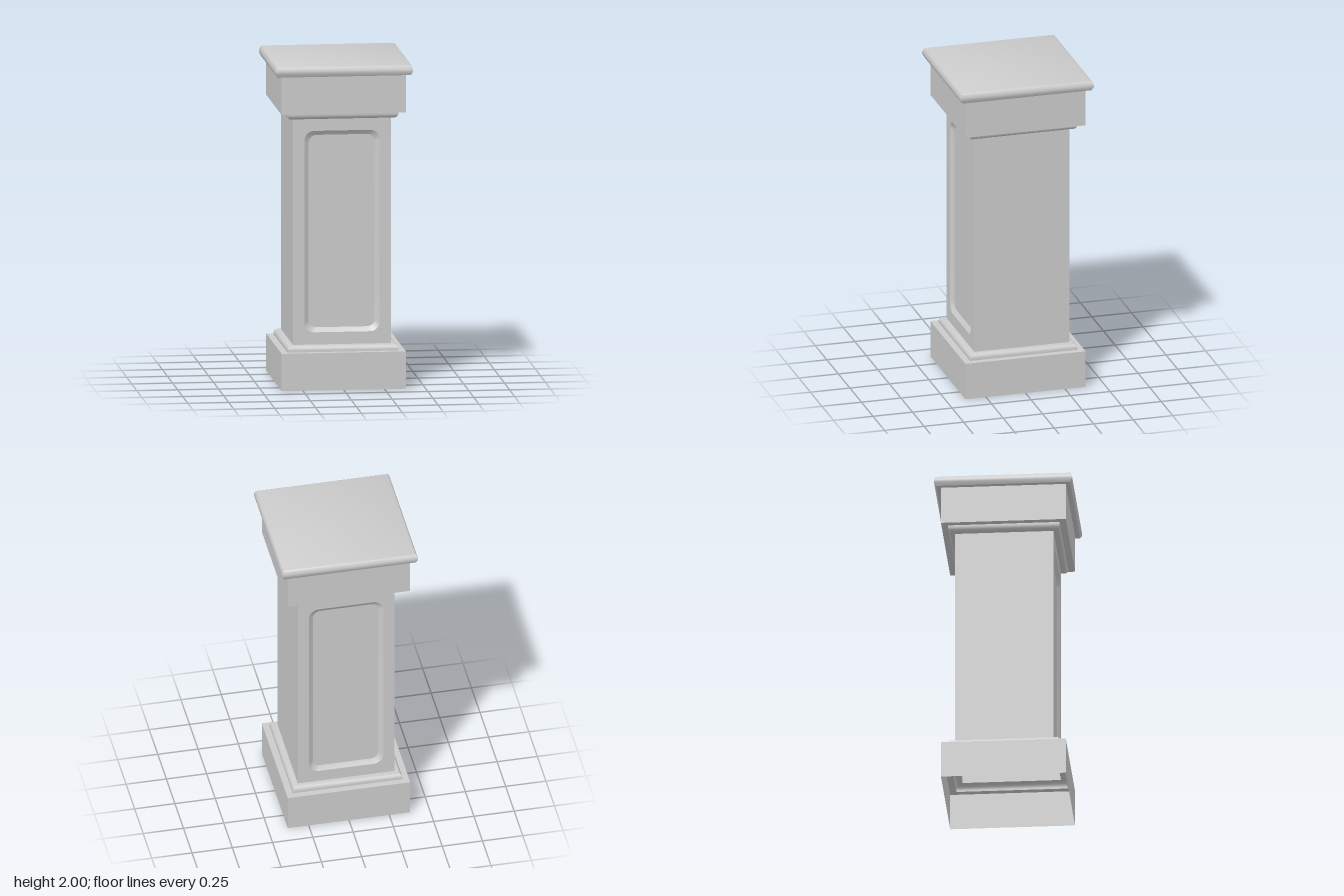
import * as THREE from 'three';
import { toCreasedNormals, mergeVertices } from 'three/addons/utils/BufferGeometryUtils.js';

const material = new THREE.MeshStandardMaterial({ color: 0xcccccc, side: THREE.DoubleSide });

const SHAFT = 0.3, LOW = 0.27, HIGH = 1.66; // shaft half width, bottom and top
const PANEL = { w: 0.23, bottom: 0.345, top: 1.585, r: 0.06 };

function addMesh(parent, name, geometry) {
  const mesh = new THREE.Mesh(geometry, material);
  mesh.name = name;
  parent.add(mesh);
  return mesh;
}

// Square moulding: profile of [half width, y] swept round four mitred sides
function squareSweep(profile) {
  const points = profile.map(([h, y]) => new THREE.Vector2(h * Math.SQRT2, y));
  const geometry = new THREE.LatheGeometry(points, 4).rotateY(Math.PI / 4);
  return toCreasedNormals(geometry, 0.7);
}

// Quarter-round between the shaft and a block
function ovolo(steps = 5) {
  const points = [];
  for (let i = 0; i <= steps; i++) {
    const a = (i / steps) * Math.PI / 2;
    points.push([0.31 + 0.03 * Math.cos(a), 0.24 + 0.03 * Math.sin(a)]);
  }
  return [[0.34, 0.23], ...points, [SHAFT, LOW]];
}

// Rounded rectangle of the panel, moved inwards by inset
function panelOutline(inset, target = new THREE.Shape()) {
  const w = PANEL.w - inset, b = PANEL.bottom + inset, t = PANEL.top - inset, r = PANEL.r - inset * 0.5;
  target.absarc(w - r, t - r, r, 0, Math.PI / 2);
  target.absarc(-w + r, t - r, r, Math.PI / 2, Math.PI);
  target.absarc(-w + r, b + r, r, Math.PI, Math.PI * 1.5);
  target.absarc(w - r, b + r, r, Math.PI * 1.5, Math.PI * 2);
  target.closePath();
  return target;
}

// Sloping border of the recess, lofted from the outer outline to the inner one
function panelBorder(rings) {
  const loops = rings.map(([inset, z]) =>
    panelOutline(inset).getPoints(6).map((p) => [p.x, p.y, z]));
  const n = loops[0].length;
  const index = [];
  for (let k = 0; k < loops.length - 1; k++) {
    for (let i = 0; i < n; i++) {
      const a = k * n + i, b = k * n + (i + 1) % n;
      index.push(a, b, b + n, a, b + n, a + n);
    }
  }
  const geometry = new THREE.BufferGeometry();
  geometry.setAttribute('position', new THREE.Float32BufferAttribute(loops.flat(2), 3));
  geometry.setIndex(index);
  return toCreasedNormals(mergeVertices(geometry), 0.6);
}

// Shaft face with a recessed panel
function panelledFace(name) {
  const face = new THREE.Group();
  face.name = name;
  const wall = new THREE.Shape([
    new THREE.Vector2(-SHAFT, LOW), new THREE.Vector2(SHAFT, LOW),
    new THREE.Vector2(SHAFT, HIGH), new THREE.Vector2(-SHAFT, HIGH),
  ]);
  wall.holes.push(panelOutline(0, new THREE.Path()));
  addMesh(face, 'shaftWall', new THREE.ShapeGeometry(wall, 6)).position.z = SHAFT;
  const rings = [[0, SHAFT], [0.018, SHAFT - 0.014], [0.028, SHAFT - 0.02]];
  addMesh(face, 'panelBorder', panelBorder(rings));
  addMesh(face, 'panel', new THREE.ShapeGeometry(panelOutline(0.028), 6)).position.z = SHAFT - 0.02;
  return face;
}

export function createModel() {
  const pedestal = new THREE.Group();
  pedestal.name = 'pedestal';

  // Hollow base, open underneath
  addMesh(pedestal, 'base', squareSweep([[0.38, 0], [0.38, 0.23], [0.34, 0.23]]));
  addMesh(pedestal, 'baseMoulding', squareSweep(ovolo()));

  // Shaft: panels front and back, plain sides
  const front = panelledFace('shaftFront');
  const back = panelledFace('shaftBack');
  back.rotation.y = Math.PI;
  pedestal.add(front, back);
  for (const [name, side] of [['shaftLeft', 1], ['shaftRight', -1]]) {
    const wall = addMesh(pedestal, name, new THREE.PlaneGeometry(SHAFT * 2, HIGH - LOW));
    wall.position.set(side * SHAFT, (LOW + HIGH) / 2, 0);
    wall.rotation.y = side * Math.PI / 2;
  }

  // Capital: the base moulding turned over, a block and a bevelled top slab
  const mirrored = ovolo().map(([h, y]) => [h, LOW + HIGH - y]).reverse();
  addMesh(pedestal, 'capitalMoulding', squareSweep(mirrored));
  addMesh(pedestal, 'capitalBlock', squareSweep([[0.34, 1.7], [0.38, 1.7], [0.38, 1.935]]));
  addMesh(pedestal, 'topSlab', squareSweep([
    [0.38, 1.935], [0.408, 1.935], [0.42, 1.957], [0.42, 1.972],
    [0.411, 1.994], [0.4, 2], [0, 2],
  ]));

  return pedestal;
}
